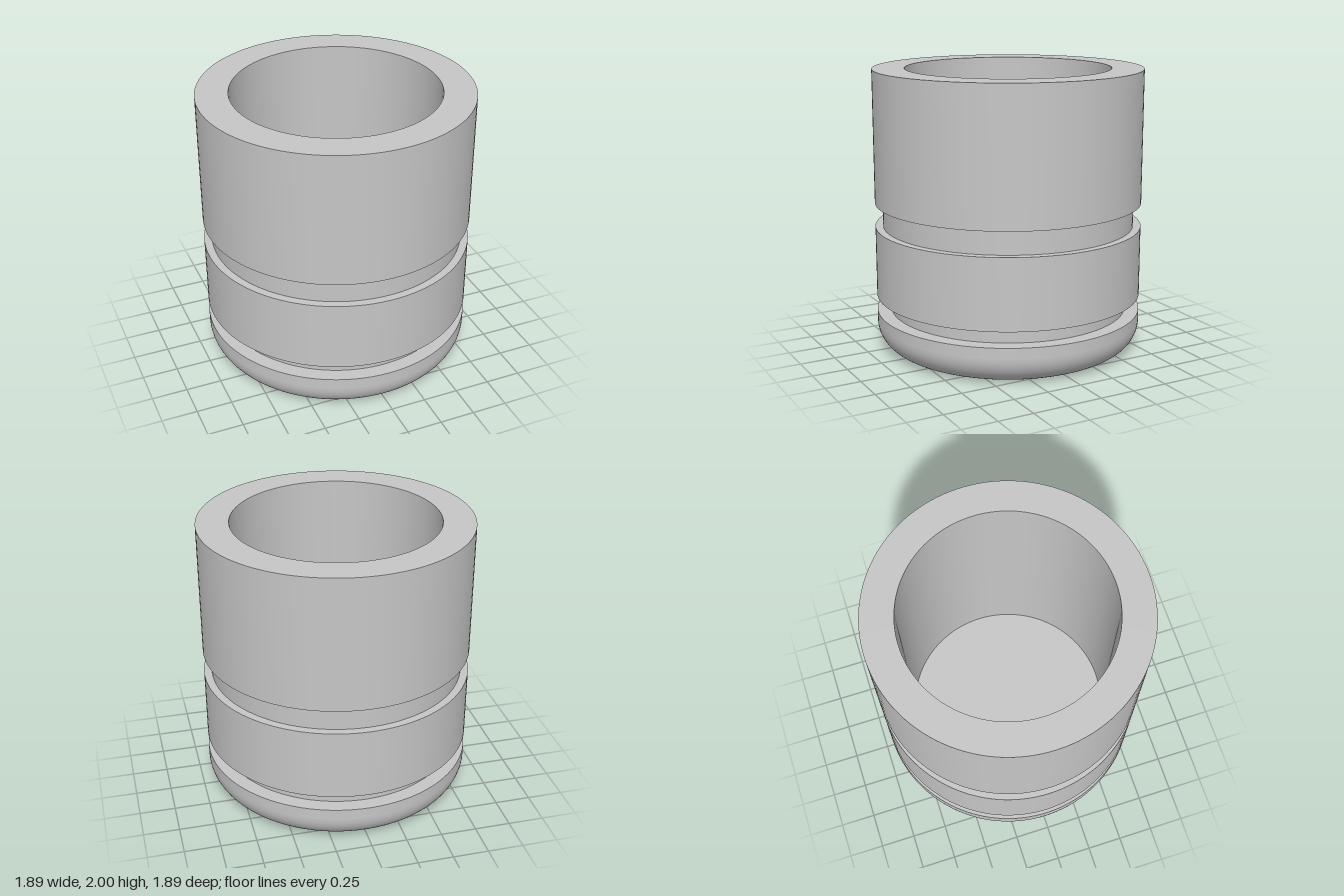
import * as THREE from 'three';

const SEGMENTS = 128;
const R = 0.945;        // outer radius
const BORE = 0.72;      // inner radius
const FLOOR = 0.25;     // height of the bore floor
const FILLET = 0.2;     // rounding of the bottom edge

export function createModel() {
  const group = new THREE.Group();
  group.name = 'piston';
  const metal = new THREE.MeshStandardMaterial({ color: 0xc6c6c6 });
  metal.name = 'grey metal';

  // Each band is its own lathe, so the edges between bands stay sharp.
  const band = (name, ...points) => {
    const profile = points.map(([x, y]) => new THREE.Vector2(x, y));
    const mesh = new THREE.Mesh(new THREE.LatheGeometry(profile, SEGMENTS), metal);
    mesh.name = name;
    group.add(mesh);
  };

  // Closed bottom with a rounded edge
  band('bottomFace', [0, 0], [R - FILLET, 0]);
  const arc = [];
  for (let i = 0; i <= 16; i++) {
    const a = (i / 16) * Math.PI / 2;
    arc.push([R - FILLET + FILLET * Math.sin(a), FILLET - FILLET * Math.cos(a)]);
  }
  band('roundedBottomEdge', ...arc);
  band('lowerWall', [R, FILLET], [R, 0.28]);

  // Two grooves, each with a ledge, an inset wall and an overhang
  const groove = (name, radius, y0, y1) => {
    band(name + 'Ledge', [R, y0], [radius, y0]);
    band(name + 'Wall', [radius, y0], [radius, y1]);
    band(name + 'Overhang', [radius, y1], [R, y1]);
  };
  groove('lowerGroove', 0.845, 0.28, 0.39);
  band('middleWall', [R, 0.39], [R, 0.89]);
  groove('upperGroove', 0.89, 0.89, 1.06);
  band('upperWall', [R, 1.06], [R, 2]);

  // Flat rim and the hollow bore
  band('rim', [R, 2], [BORE, 2]);
  band('boreWall', [BORE, 2], [BORE, FLOOR]);
  band('boreFloor', [BORE, FLOOR], [0, FLOOR]);

  return group;
}
